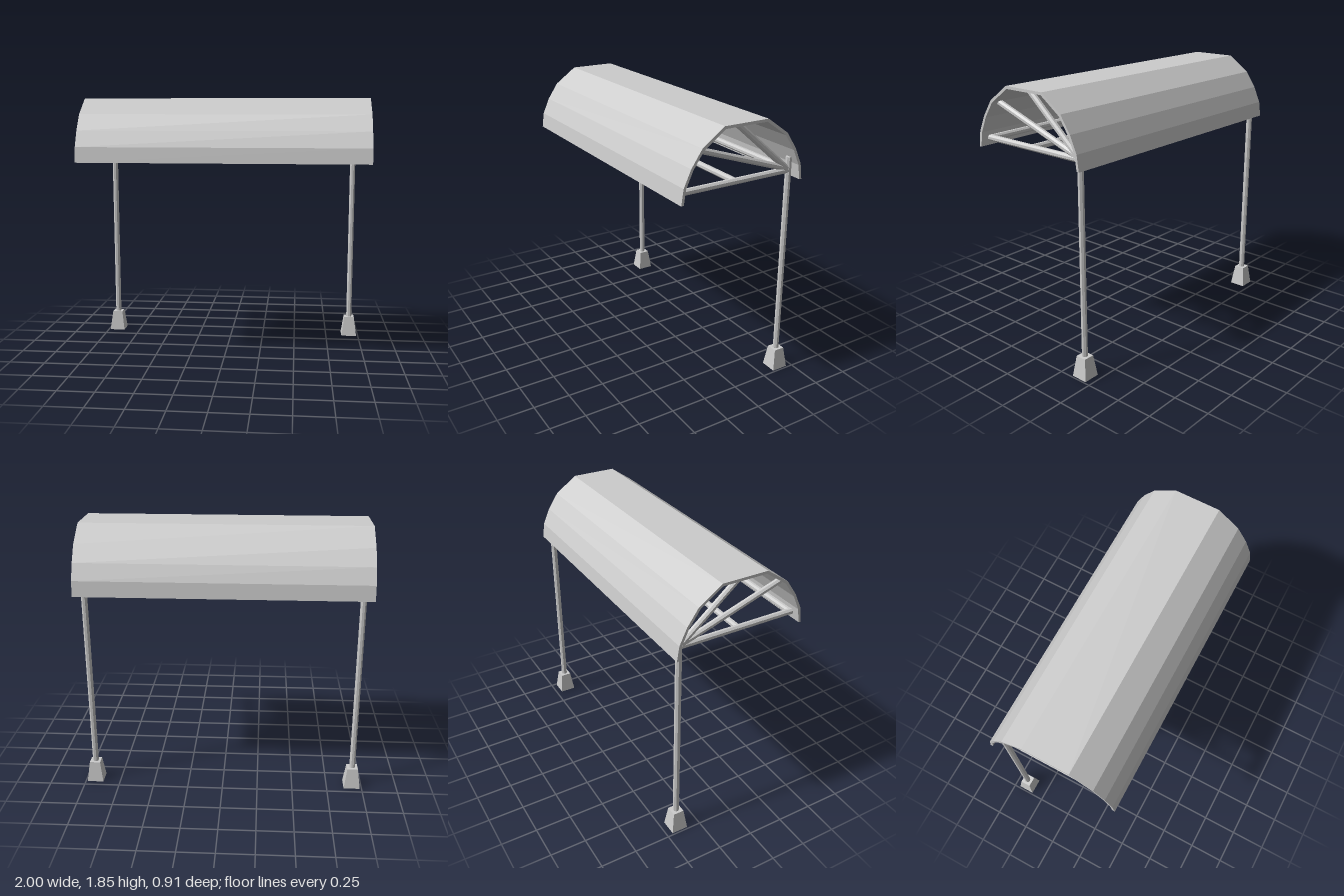
import * as THREE from 'three';

export function createModel() {
  const group = new THREE.Group();
  const steel = new THREE.MeshStandardMaterial({ color: 0xcccccc });
  steel.name = 'light grey';

  const add = (name, geometry) => {
    // Split vertices so every facet gets its own normal
    const g = geometry.index ? geometry.toNonIndexed() : geometry;
    g.computeVertexNormals();
    const mesh = new THREE.Mesh(g, steel);
    mesh.name = name;
    group.add(mesh);
    return mesh;
  };

  // Octagonal bar between two points, flats facing the axes
  const bar = (name, a, b, radius = 0.021) => {
    const from = new THREE.Vector3(...a);
    const dir = new THREE.Vector3(...b).sub(from);
    const g = new THREE.CylinderGeometry(radius, radius, dir.length(), 8);
    g.rotateY(Math.PI / 8);
    const mesh = add(name, g);
    mesh.position.copy(from).addScaledVector(dir, 0.5);
    mesh.quaternion.setFromUnitVectors(new THREE.Vector3(0, 1, 0), dir.normalize());
  };

  // Faceted arched roof: half profiles mirrored, then extruded along x
  const outer = [[0.455, 1.41], [0.44, 1.515], [0.39, 1.625], [0.315, 1.735], [0.16, 1.845]];
  const inner = [[0.437, 1.412], [0.422, 1.51], [0.375, 1.615], [0.303, 1.721], [0.153, 1.827]];
  const mirror = (half) => half.map(([z, y]) => [-z, y]).reverse();
  const profile = [...outer, ...mirror(outer), ...mirror(inner).reverse(), ...inner.slice().reverse()];
  const roof = new THREE.ExtrudeGeometry(
    new THREE.Shape(profile.map(([z, y]) => new THREE.Vector2(z, y))),
    { depth: 2, bevelEnabled: false }
  );
  roof.translate(0, 0, -1).rotateY(Math.PI / 2);
  add('roof', roof);

  const beamY = 1.463;
  const postZ = -0.401;
  for (const [side, x] of [['left', 0.93], ['right', -0.93]]) {
    // Tapered square foot
    const foot = new THREE.CylinderGeometry(0.0375 * Math.SQRT2, 0.0575 * Math.SQRT2, 0.147, 4);
    foot.rotateY(Math.PI / 4).translate(x, 0.0735, postZ);
    add(side + 'Foot', foot);

    // Post and the fan of bracing bars
    bar(side + 'Post', [x, 0.14, postZ], [x, 1.55, postZ]);
    bar(side + 'CrossBeam', [x, beamY, postZ], [x, beamY, 0.436]);
    bar(side + 'LowBrace', [x, 1.475, -0.385], [x, 1.714, 0.318]);
    bar(side + 'HighBrace', [x, 1.475, -0.385], [x, 1.828, 0.025]);
  }

  // Long beams joining the two frames
  for (const [name, z] of [['rearBeam', postZ], ['middleBeam', 0.02], ['frontBeam', 0.415]]) {
    bar(name, [-0.93, beamY, z], [0.93, beamY, z]);
  }

  return group;
}
